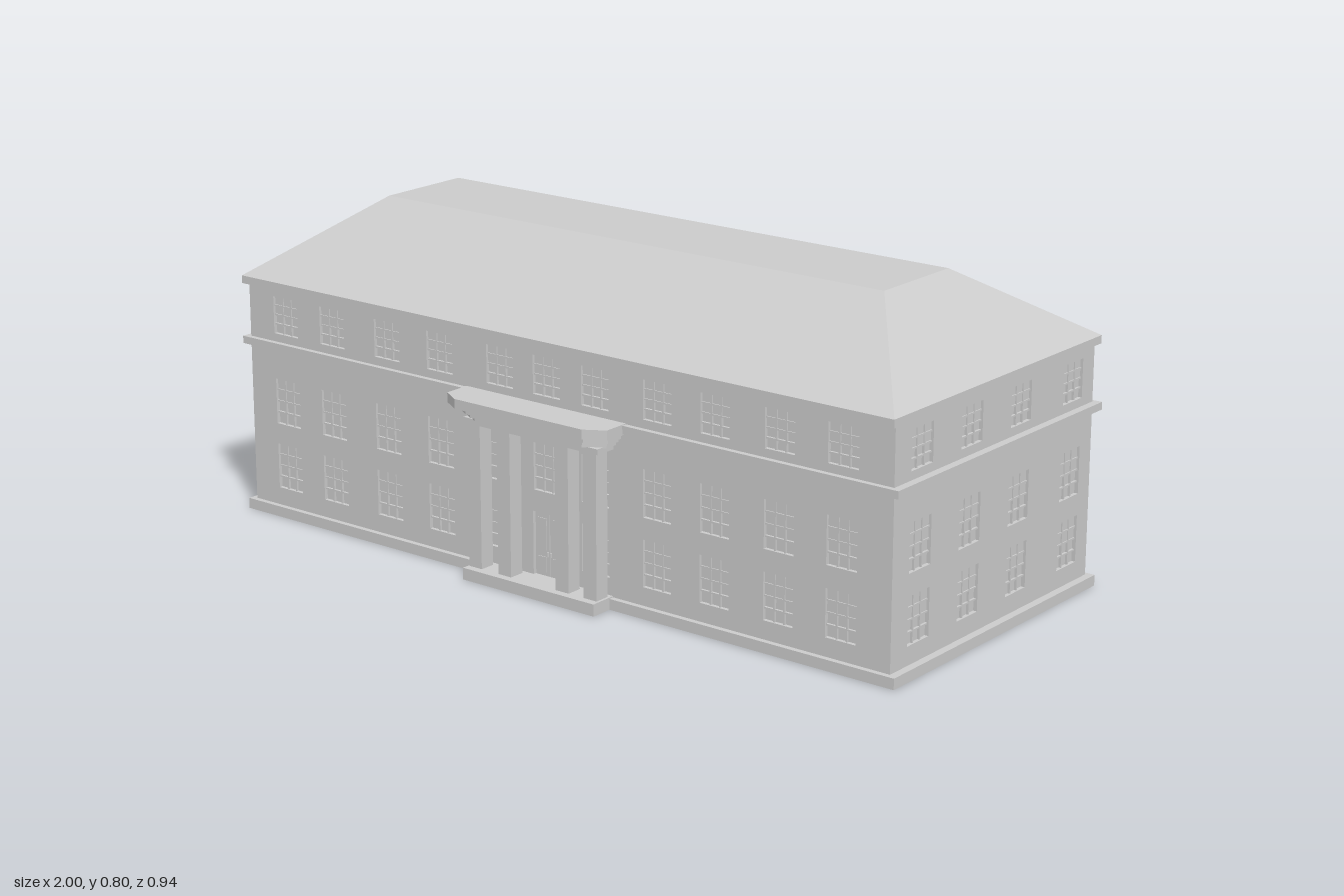
import * as THREE from 'three';

const material = new THREE.MeshStandardMaterial({ color: 0xcccccc, flatShading: true, side: THREE.DoubleSide });
const WALL = 0.02; // wall thickness
const X0 = -0.985, X1 = 0.98, Z0 = -0.455, Z1 = 0.372, EAVES = 0.6;

function add(parent, name, geometry) {
  const mesh = new THREE.Mesh(geometry, material);
  mesh.name = name;
  parent.add(mesh);
  return mesh;
}

// Box given by its extents on each axis
function block(parent, name, x0, x1, y0, y1, z0, z1) {
  const mesh = add(parent, name, new THREE.BoxGeometry(x1 - x0, y1 - y0, z1 - z0));
  mesh.position.set((x0 + x1) / 2, (y0 + y1) / 2, (z0 + z1) / 2);
  return mesh;
}

function rectangle(Type, x0, x1, y0, y1) {
  return new Type([[x0, y0], [x1, y0], [x1, y1], [x0, y1]].map(([x, y]) => new THREE.Vector2(x, y)));
}

// Sash window: recessed panes crossed by glazing bars
function sashWindow(parent, { x, y0, y1, w }) {
  const g = new THREE.Group();
  g.name = 'window';
  const a = x - w / 2, b = x + w / 2, mid = (y0 + y1) / 2, bar = 0.002;
  block(g, 'lowerSash', a, b, y0, mid, -0.013, -0.01);
  block(g, 'upperSash', a, b, mid, y1, -0.01, -0.007);
  for (const f of [1 / 3, 2 / 3]) {
    const c = a + w * f;
    block(g, 'verticalBar', c - bar, c + bar, y0, y1, -0.016, -0.004);
  }
  for (const f of [0.25, 0.5, 0.75]) {
    const c = y0 + (y1 - y0) * f;
    block(g, 'horizontalBar', a, b, c - bar, c + bar, -0.016, -0.004);
  }
  parent.add(g);
}

// Wall in its own plane, outer face at z = 0, with cut openings
function makeWall(name, x0, x1, windows, extraHoles = []) {
  const g = new THREE.Group();
  g.name = name;
  const shape = rectangle(THREE.Shape, x0, x1, 0, EAVES);
  for (const o of [...windows, ...extraHoles]) {
    shape.holes.push(rectangle(THREE.Path, o.x - o.w / 2, o.x + o.w / 2, o.y0, o.y1));
  }
  add(g, 'wallPanel', new THREE.ExtrudeGeometry(shape, { depth: WALL, bevelEnabled: false })
    .translate(0, 0, -WALL));
  windows.forEach((o) => sashWindow(g, o));
  return g;
}

// Hollow moulding that runs around the building
function ring(parent, name, y0, y1, x0, x1, z0, z1) {
  const shape = rectangle(THREE.Shape, x0, x1, -z1, -z0);
  shape.holes.push(rectangle(THREE.Path, X0 + WALL, X1 - WALL, -Z1 + WALL, -Z0 - WALL));
  add(parent, name, new THREE.ExtrudeGeometry(shape, { depth: y1 - y0, bevelEnabled: false })
    .rotateX(-Math.PI / 2).translate(0, y0, 0));
}

// Window rows, bottom to top
const rows = [[0.073, 0.19], [0.244, 0.362], [0.481, 0.577]];

function buildWalls(house) {
  const columns = [-0.86, -0.7, -0.515, -0.342, -0.15, -0.005, 0.142, 0.326, 0.492, 0.673, 0.845];
  const frontWindows = [];
  rows.forEach(([y0, y1], r) => columns.forEach((x, c) => {
    if (r > 0 || c !== 5) frontWindows.push({ x, y0, y1, w: 0.083 });
  }));
  const door = { x: -0.005, y0: 0.03, y1: 0.19, w: 0.09 };
  const front = makeWall('frontWall', X0, X1, frontWindows, [door]);
  front.position.z = Z1;
  house.add(front);

  // Double door with raised panels and handles
  for (const s of [-1, 1]) {
    const c = door.x + s * 0.0225;
    block(front, 'doorLeaf', c - 0.0215, c + 0.0215, door.y0, door.y1, -0.016, -0.008);
    for (const [y0, y1] of [[0.04, 0.078], [0.095, 0.175]]) {
      block(front, 'doorPanel', c - 0.013, c + 0.013, y0, y1, -0.009, -0.006);
    }
    block(front, 'doorHandle', door.x + s * 0.005 - 0.0015, door.x + s * 0.005 + 0.0015, 0.08, 0.092, -0.009, -0.002);
  }

  // End walls mirror each other
  for (const s of [1, -1]) {
    const windows = [];
    for (const [y0, y1] of rows) {
      for (const z of [0.265, 0.066, -0.138, -0.363]) windows.push({ x: -s * z, y0, y1, w: 0.085 });
    }
    const ends = [-s * Z0, -s * Z1].sort((a, b) => a - b);
    const side = makeWall(s > 0 ? 'leftWall' : 'rightWall', ends[0], ends[1], windows);
    side.rotation.y = s * Math.PI / 2;
    side.position.x = s > 0 ? X1 : X0;
    house.add(side);
  }
  block(house, 'backWall', X0, X1, 0, EAVES, Z0, Z0 + WALL);
}

function buildRoof(house) {
  block(house, 'eaves', -0.992, 0.988, EAVES, 0.62, -0.472, 0.39);
  // Hipped roof: the top corners are drawn in to a flat ridge
  const hip = new THREE.BoxGeometry(2, 1, 2);
  const p = hip.attributes.position;
  for (let i = 0; i < p.count; i++) {
    const top = p.getY(i) > 0;
    const x = p.getX(i) > 0 ? (top ? 0.748 : 0.988) : (top ? -0.765 : -0.992);
    const z = p.getZ(i) > 0 ? (top ? 0.085 : 0.39) : (top ? -0.176 : -0.472);
    p.setXYZ(i, x, top ? 0.803 : 0.62, z);
  }
  hip.computeVertexNormals();
  add(house, 'hippedRoof', hip);
}

// Plan outline with cut front corners
function canopySlab(parent, name, halfWidth, front, y0, y1) {
  const c = -0.01, w = halfWidth;
  const pts = [[-w, -0.36], [-w, -(front - 0.03)], [-w + 0.05, -front], [w - 0.05, -front], [w, -(front - 0.03)], [w, -0.36]];
  const shape = new THREE.Shape(pts.map(([x, y]) => new THREE.Vector2(x + c, y)));
  add(parent, name, new THREE.ExtrudeGeometry(shape, { depth: y1 - y0, bevelEnabled: false })
    .rotateX(-Math.PI / 2).translate(0, y0, 0));
}

function buildPortico(house) {
  const g = new THREE.Group();
  g.name = 'portico';
  block(g, 'porchStep', -0.212, 0.195, 0, 0.03, 0.36, 0.445);
  for (const x of [-0.189, -0.096, 0.083, 0.168]) {
    block(g, 'column', x - 0.02, x + 0.02, 0.03, 0.395, 0.384, 0.425);
  }
  block(g, 'lintel', -0.215, 0.197, 0.392, 0.406, 0.365, 0.43);
  // Stepped cornice below the canopy
  [[0.215, 0.436], [0.222, 0.443], [0.23, 0.45], [0.235, 0.456]].forEach(([w, z], i) =>
    canopySlab(g, 'cornice', w, z, 0.404 + i * 0.009, 0.413 + i * 0.009));
  canopySlab(g, 'canopy', 0.245, 0.472, 0.438, 0.462);
  house.add(g);
}

export function createModel() {
  const house = new THREE.Group();
  house.name = 'house';
  buildWalls(house);
  ring(house, 'plinth', 0, 0.027, -1, 1, -0.466, 0.386);
  ring(house, 'stringCourse', 0.441, 0.46, -1, 1, -0.466, 0.386);
  buildRoof(house);
  buildPortico(house);
  return house;
}
